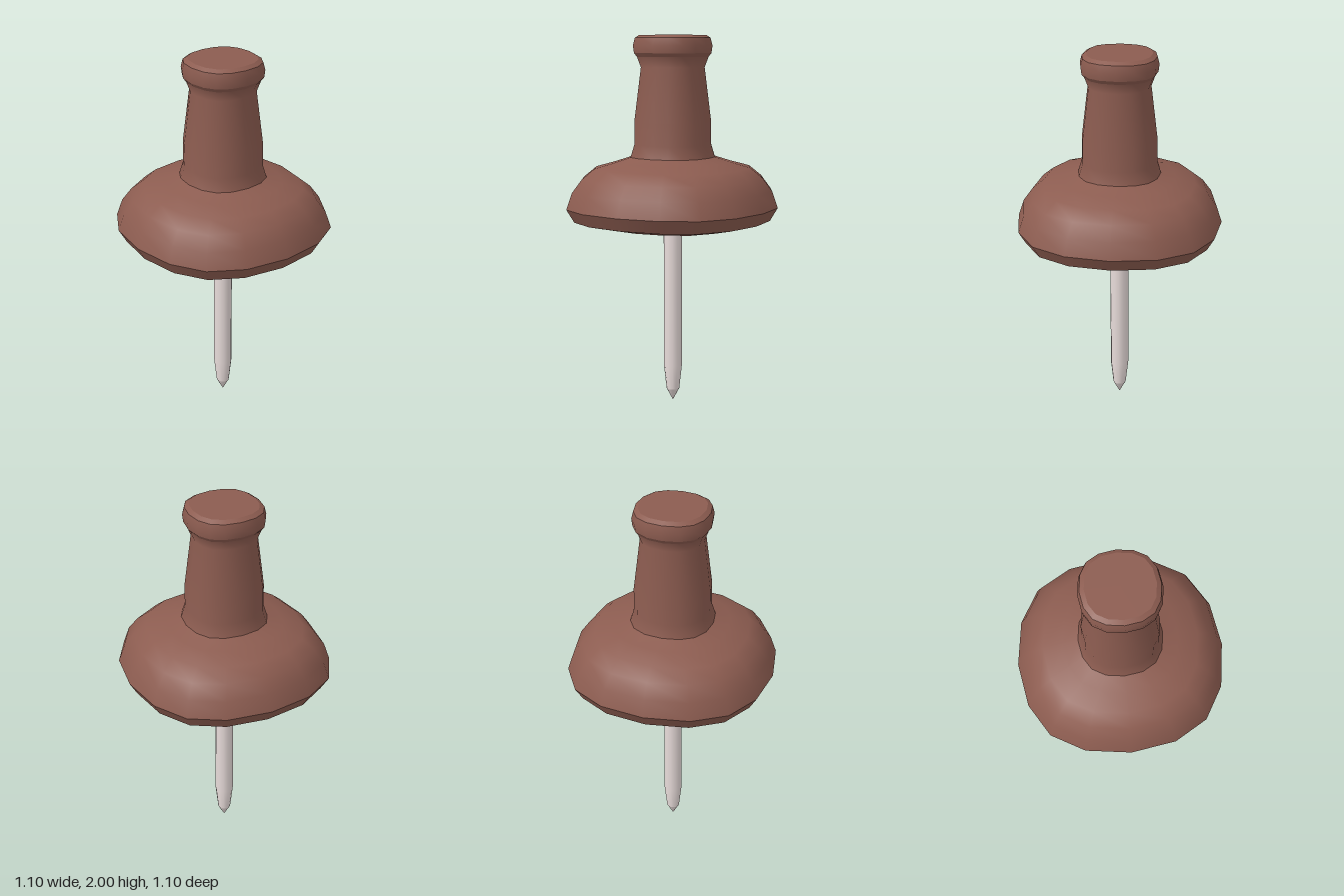
import * as THREE from 'three';

const plastic = new THREE.MeshStandardMaterial({ color: 0x8c5c50 });
const steel = new THREE.MeshStandardMaterial({ color: 0xe8dcda });

// Lathe a [radius, y] profile (bottom to top), then swell it slightly towards a rounded square
function turned(name, profile, material, sides, swell) {
  const geo = new THREE.LatheGeometry(profile.map(([r, y]) => new THREE.Vector2(r, y)), sides);
  const pos = geo.attributes.position;
  for (let i = 0; i < pos.count; i++) {
    const x = pos.getX(i), z = pos.getZ(i);
    const a = Math.atan2(x, z);
    const r = Math.hypot(x, z) * (1 + swell * Math.sin(2 * a) ** 2);
    const b = a + swell * 0.67 * Math.sin(4 * a);
    pos.setXYZ(i, r * Math.sin(b), pos.getY(i), r * Math.cos(b));
  }
  const mesh = new THREE.Mesh(geo, material);
  mesh.name = name;
  return mesh;
}

export function createModel() {
  const model = new THREE.Group();
  model.name = 'pushPin';

  // Plastic handle: separate bands keep the edges between them sharp
  const handle = new THREE.Group();
  handle.name = 'handle';
  const bands = {
    flangeUnderside: [[0, 0.978], [0.37, 0.98], [0.51, 1.01]],
    flangeEdge: [[0.51, 1.01], [0.55, 1.08]],
    flangeDome: [[0.55, 1.08], [0.52, 1.17], [0.47, 1.24], [0.405, 1.295], [0.3, 1.325], [0.22, 1.352]],
    neck: [[0.22, 1.352], [0.2, 1.42], [0.2, 1.54], [0.165, 1.83], [0.185, 1.885]],
    rimUnderside: [[0.185, 1.885], [0.2, 1.905]],
    rim: [[0.2, 1.905], [0.205, 1.945], [0.195, 1.985]],
    rimBevel: [[0.195, 1.985], [0.172, 2]],
    cap: [[0.172, 2], [0, 2]],
  };
  for (const [name, profile] of Object.entries(bands)) {
    handle.add(turned(name, profile, plastic, 16, 0.06));
  }
  model.add(handle);

  // Steel pin with a tapered point
  const pin = new THREE.Group();
  pin.name = 'pin';
  pin.add(turned('point', [[0, 0], [0.035, 0.065]], steel, 12, 0));
  pin.add(turned('shaft', [[0.035, 0.065], [0.05, 0.2], [0.05, 0.99]], steel, 12, 0));
  model.add(pin);

  return model;
}
